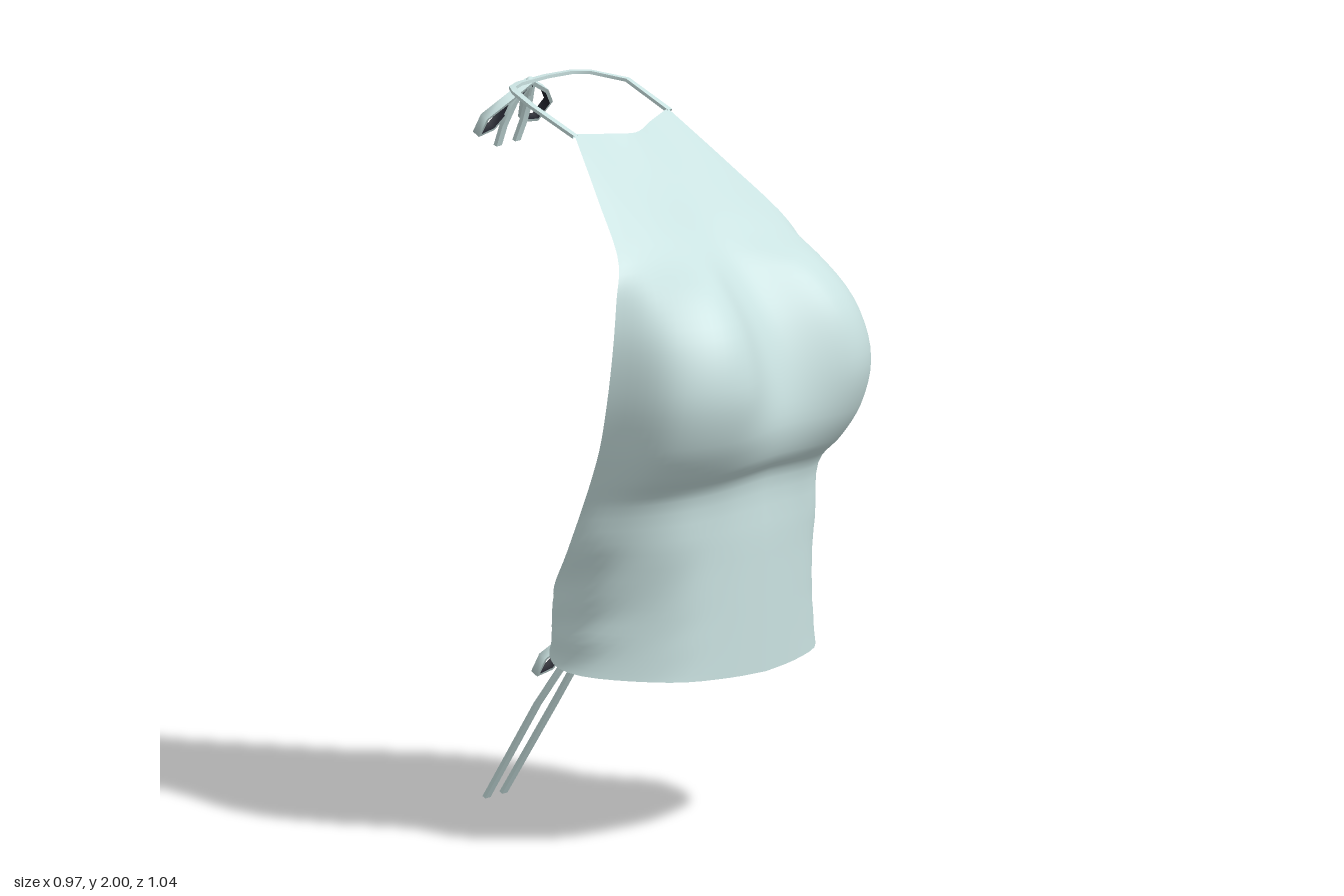
import * as THREE from 'three';

const V = (x, y, z) => new THREE.Vector3(x, y, z);

// Chest, neckline to underbust: [centre y, centre z, bust z, side z, edge x, edge y, edge z]
const CHEST = [
  [1.89, -0.04, -0.07, -0.085, 0.21, 1.915, -0.09],
  [1.76, 0.09, 0.085, 0.07, 0.295, 1.765, 0.055],
  [1.64, 0.2, 0.225, 0.2, 0.375, 1.62, 0.185],
  [1.55, 0.29, 0.385, 0.3, 0.425, 1.53, 0.215],
  [1.42, 0.39, 0.485, 0.39, 0.465, 1.42, 0.235],
  [1.28, 0.45, 0.52, 0.43, 0.485, 1.27, 0.23],
  [1.15, 0.47, 0.49, 0.4, 0.48, 1.13, 0.2],
  [1.06, 0.445, 0.435, 0.34, 0.47, 1.04, 0.165],
  [1.0, 0.4, 0.375, 0.27, 0.462, 0.96, 0.13],
];
// Waist: one half oval, front to back tie, cut off where the open back begins
const OVAL = [[0, 0.4], [0.15, 0.385], [0.31, 0.33], [0.44, 0.14], [0.425, 0.03], [0.315, -0.09],
  [0.18, -0.165], [0.015, -0.2]];
// [centre y, edge y, share of the oval covered, width factor]
const WAIST = [[0.83, 0.82, 0.55, 1.01], [0.65, 0.68, 0.7, 0.965], [0.55, 0.59, 0.85, 0.985],
  [0.46, 0.525, 1, 1.02]];

// Half sections from centre to left edge
function halfSections() {
  const chest = CHEST.map(([yc, zc, zBust, zSide, x, ye, ze]) => ({
    yc, ye, half: [V(0, 0, zc), V(0.53 * x, 0, zBust), V(0.87 * x, 0, zSide), V(x, 0, ze)],
  }));
  const oval = new THREE.CatmullRomCurve3(OVAL.map(([x, z]) => V(x, 0, z)));
  const waist = WAIST.map(([yc, ye, share, wide]) => ({
    yc, ye,
    half: Array.from({ length: 25 }, (_, i) => oval.getPointAt(share * i / 24).multiply(V(wide, 1, 1))),
  }));
  return [...chest, ...waist];
}

// Surface from corner positions and triangles
function sheet(pos, index) {
  const g = new THREE.BufferGeometry();
  g.setAttribute('position', new THREE.Float32BufferAttribute(pos, 3));
  g.setIndex(index);
  g.computeVertexNormals();
  return g;
}

// Smooth sheet through the mirrored sections
function bodyGeometry() {
  const cols = 48, rows = 52;
  const lines = halfSections().map(({ yc, ye, half }) => {
    const right = half.slice(1).reverse().map((p) => V(-p.x, 0, p.z));
    const points = new THREE.CatmullRomCurve3([...right, ...half]).getSpacedPoints(cols);
    points.forEach((p, i) => {
      p.y = yc + (ye - yc) * Math.pow(Math.abs(2 * i / cols - 1), 1.3);
    });
    return points;
  });
  const columns = [];
  for (let i = 0; i <= cols; i++) {
    columns.push(new THREE.CatmullRomCurve3(lines.map((l) => l[i])).getPoints(rows));
  }
  const pos = [], index = [];
  for (let j = 0; j <= rows; j++) {
    for (let i = 0; i <= cols; i++) {
      pos.push(...columns[i][j].toArray());
      if (i < cols && j < rows) {
        const a = j * (cols + 1) + i, b = a + cols + 1;
        index.push(a, b, a + 1, b, b + 1, a + 1);
      }
    }
  }
  return sheet(pos, index);
}

// Ribbon with a rectangular section: returns its upper face, and its other three sides
function ribbonGeometries(points, acrossAt, width, thickness) {
  const last = points.length - 1;
  const frames = points.map((p, i) => {
    const t = points[Math.min(i + 1, last)].clone().sub(points[Math.max(i - 1, 0)]);
    const w = acrossAt(t).setLength(width / 2);
    return { p, w, n: w.clone().cross(t).setLength(thickness / 2) };
  });
  const strips = (sides) => {
    const pos = [], index = [];
    for (const corners of sides) {
      frames.forEach(({ p, w, n }, i) => {
        const a = pos.length / 3;
        for (const [sw, sn] of corners) {
          pos.push(...p.clone().addScaledVector(w, sw).addScaledVector(n, sn).toArray());
        }
        if (i < last) index.push(a, a + 1, a + 2, a + 1, a + 3, a + 2);
      });
    }
    return sheet(pos, index);
  };
  return [
    strips([[[-1, 1], [1, 1]]]),
    strips([[[1, 1], [1, -1]], [[1, -1], [-1, -1]], [[-1, -1], [-1, 1]]]),
  ];
}

export function createModel() {
  const cloth = new THREE.MeshStandardMaterial({ color: 0xcae2e1, side: THREE.DoubleSide });
  cloth.name = 'pale teal cloth';
  const dark = new THREE.MeshStandardMaterial({ color: 0x1e202a, side: THREE.DoubleSide });
  dark.name = 'dark ribbon lining';

  const model = new THREE.Group();
  model.name = 'halterTop';
  const add = (parent, geometry, material, name) => {
    const mesh = new THREE.Mesh(geometry, material);
    mesh.name = name;
    parent.add(mesh);
    return mesh;
  };

  add(model, bodyGeometry(), cloth, 'body');

  // Neck strap, lying flat around the back of the neck
  const strapHalf = [V(0.212, 1.908, -0.085), V(0.215, 1.975, -0.23), V(0.168, 1.993, -0.32),
    V(0.13, 1.994, -0.358), V(0.06, 1.99, -0.388)];
  const strap = [...strapHalf, V(0, 1.987, -0.397),
    ...strapHalf.map((p) => V(-p.x, p.y, p.z)).reverse()];
  const [strapTop, strapRest] = ribbonGeometries(strap, (t) => V(-t.z, 0, t.x), 0.018, 0.009);
  add(model, strapTop, cloth, 'neckStrapTop');
  add(model, strapRest, cloth, 'neckStrapUnderside');

  // Bow: knot, two loops and two tails, each ribbon lined in dark on one face
  const loop = [[0.005, 0, 0], [0.08, -0.035, -0.012], [0.143, -0.08, -0.045], [0.13, -0.13, -0.08],
    [0.07, -0.122, -0.078], [0.03, -0.06, -0.04], [0.005, -0.01, -0.008]];
  const makeBow = (name, at, tail) => {
    const bow = new THREE.Group();
    bow.name = name;
    bow.position.set(...at);
    const knot = add(bow, new THREE.SphereGeometry(0.014, 10, 8), cloth, 'knot');
    knot.scale.set(1.1, 1, 0.7);
    for (const s of [1, -1]) {
      const side = s > 0 ? 'left' : 'right';
      const ribbon = (path, across, width, part) => {
        const points = path.map(([x, y, z]) => V(s * x, y, z));
        const [lining, rest] = ribbonGeometries(points, () => across.clone(), width, 0.011);
        add(bow, lining, dark, side + part + 'Lining');
        add(bow, rest, cloth, side + part);
      };
      ribbon(loop, V(0, 0.53 * s, -0.85 * s), 0.024, 'Loop');
      ribbon(tail, V(1, 0, 0), 0.024, 'Tail');
    }
    model.add(bow);
  };
  makeBow('neckBow', [0, 1.985, -0.397],
    [[0.008, 0, 0], [0.035, -0.06, -0.03], [0.045, -0.12, -0.055], [0.042, -0.178, -0.077]]);
  makeBow('backBow', [0, 0.522, -0.2],
    [[0.008, 0, 0], [0.03, -0.1, -0.045], [0.043, -0.24, -0.14], [0.038, -0.518, -0.315]]);

  return model;
}
